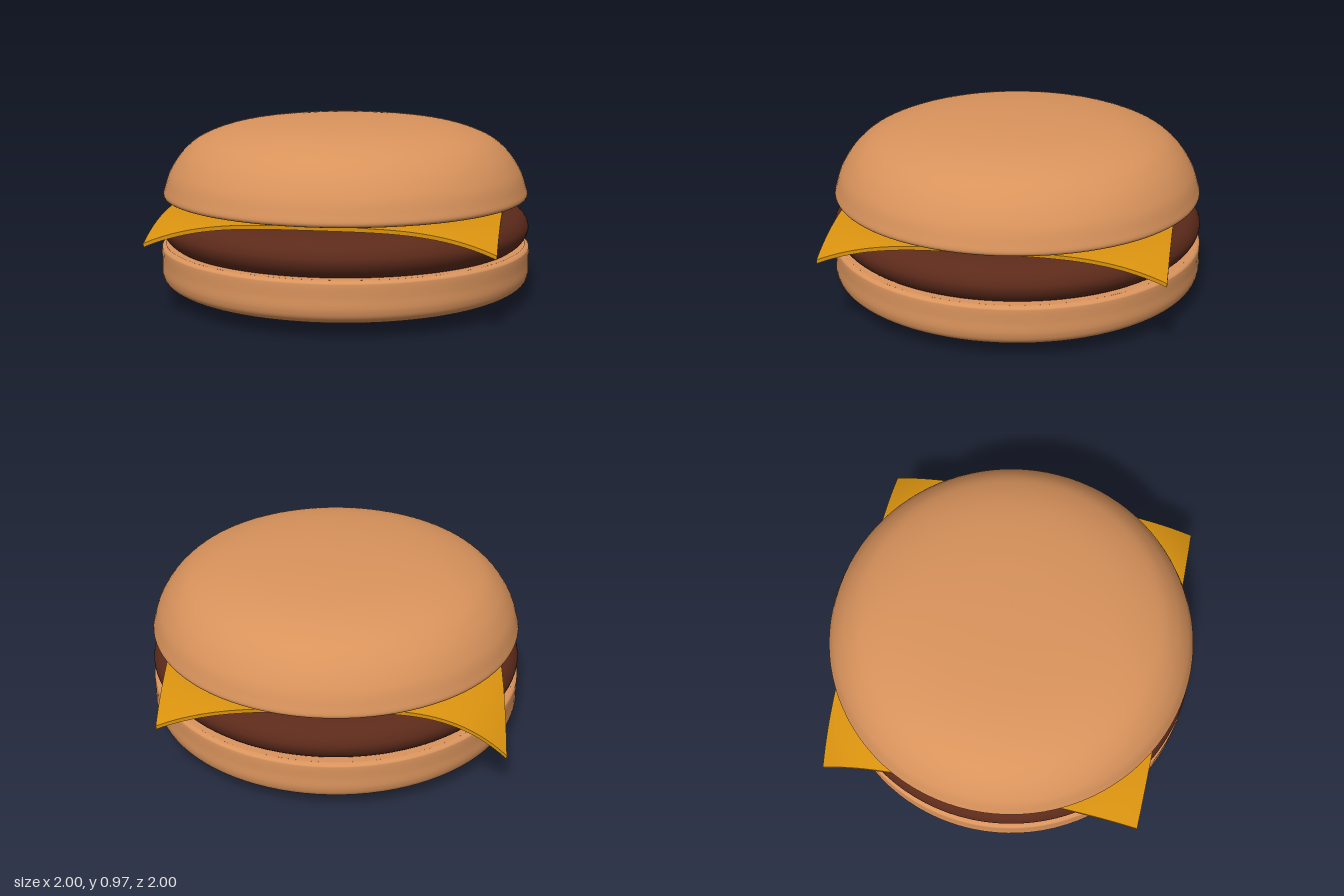
import * as THREE from 'three';

const BUN = 0xd9935c, PATTY = 0x5c2a1a, CHEESE = 0xd9920f;

function addMesh(group, name, geometry, color) {
  const mesh = new THREE.Mesh(geometry, new THREE.MeshStandardMaterial({ color }));
  mesh.name = name;
  group.add(mesh);
}

// Spin a smooth [radius, y] profile, listed from bottom centre to top centre
function turned(profile, steps = 80) {
  const curve = new THREE.SplineCurve(profile.map(([r, y]) => new THREE.Vector2(r, y)));
  const points = curve.getPoints(steps);
  points.forEach((p) => { p.x = Math.max(p.x, 0); });
  return new THREE.LatheGeometry(points, 96);
}

// Square slice whose corners sag beyond the patty, the back corner at -x sagging most
function cheeseSlice() {
  const geometry = new THREE.BoxGeometry(1.73, 0.02, 1.73, 48, 1, 48);
  const pos = geometry.attributes.position;
  for (let i = 0; i < pos.count; i++) {
    const x = pos.getX(i), z = pos.getZ(i);
    const over = Math.max(0, Math.hypot(x, z) - 0.86);
    const sag = x < 0 && z < 0 ? 1.98 : 0.85;
    pos.setY(i, pos.getY(i) + 0.52 - sag * over * over);
  }
  geometry.computeVertexNormals();
  return geometry;
}

export function createModel() {
  const model = new THREE.Group();
  model.name = 'cheeseburger';

  // Bottom bun: gently domed base, straight wall, flat top
  addMesh(model, 'bottomBun', turned([
    [0, 0.003], [0.3, 0.009], [0.58, 0.022], [0.8, 0.044], [0.92, 0.07], [0.98, 0.1], [1, 0.145],
    [1, 0.21], [1, 0.27], [0.995, 0.286], [0.975, 0.295], [0.93, 0.297], [0.5, 0.297], [0, 0.297],
  ], 112), BUN);

  // Patty with a fully rounded rim
  addMesh(model, 'patty', turned([
    [0, 0.285], [0.5, 0.285], [0.88, 0.288], [0.94, 0.3], [0.98, 0.34], [0.995, 0.39],
    [0.975, 0.44], [0.93, 0.475], [0.85, 0.495], [0.7, 0.506], [0.4, 0.509], [0, 0.509],
  ]), PATTY);

  addMesh(model, 'cheeseSlice', cheeseSlice(), CHEESE);

  // Domed top bun with a flat underside
  addMesh(model, 'topBun', turned([
    [0, 0.532], [0.5, 0.532], [0.85, 0.534], [0.95, 0.543], [0.984, 0.56], [0.976, 0.605],
    [0.945, 0.69], [0.875, 0.79], [0.77, 0.87], [0.58, 0.932], [0.31, 0.963], [0, 0.972],
  ]), BUN);

  return model;
}
